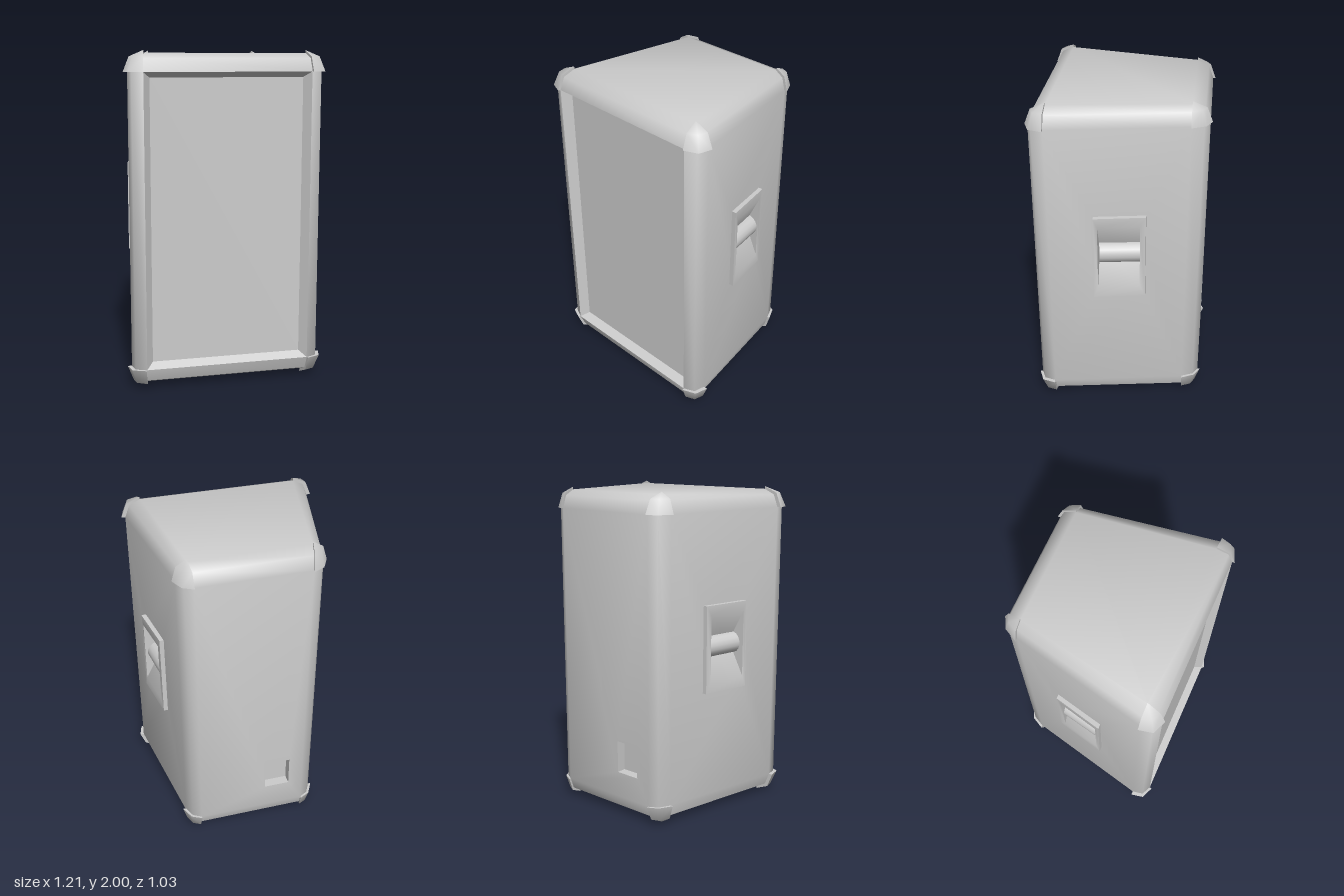
import * as THREE from 'three';
import { toCreasedNormals } from 'three/addons/utils/BufferGeometryUtils.js';

const material = new THREE.MeshStandardMaterial({ color: 0xcccccc });
const Y_LOW = 0.127, Y_HIGH = 1.877; // where the rounding of base and top begins

// Taper: scales the width with depth; u = 1 and u = -1 are the two side walls
function taper(u, y, z) {
  return [0.0125 - 0.03125 * z + u * (0.5025 + 0.19375 * z), y, z];
}

// Collects faces and turns them into a mesh
class Faces {
  constructor() { this.pos = []; }
  tri(a, b, c) { this.pos.push(...a, ...b, ...c); }
  quad(a, b, c, d) { this.tri(a, b, c); this.tri(a, c, d); }
  // four quads between an outer and an inner loop of four corners
  frame(outer, inner) {
    for (let k = 0; k < 4; k++) {
      const n = (k + 1) % 4;
      this.quad(outer[k], outer[n], inner[n], inner[k]);
    }
  }
  mesh(name, crease) {
    let g = new THREE.BufferGeometry();
    g.setAttribute('position', new THREE.Float32BufferAttribute(this.pos, 3));
    g = toCreasedNormals(g, crease);
    const m = new THREE.Mesh(g, material);
    m.name = name;
    return m;
  }
}

// Horizontal outline of the cabinet: four corners of three points each
function ring(yCentre, latitude) {
  const c = Math.cos(latitude), y = yCentre + 0.107 * Math.sin(latitude);
  const pts = [];
  [[1, 1], [-1, 1], [-1, -1], [1, -1]].forEach(([sx, sz], k) => {
    for (let j = 0; j < 3; j++) {
      const a = (k + j / 2) * Math.PI / 2;
      pts.push(taper(sx * 0.833 + 0.167 * c * Math.cos(a), y, sz * 0.4 + 0.1 * c * Math.sin(a)));
    }
  });
  return pts;
}

// Rectangle lying on a side wall, pushed out by a given amount
function sideRect(s, out, zBack, zFront, y0, y1) {
  const [z1, z2] = s > 0 ? [zBack, zFront] : [zFront, zBack];
  const u = s * (1 + out / 0.5);
  return [taper(u, y0, z1), taper(u, y1, z1), taper(u, y1, z2), taper(u, y0, z2)];
}
const gripHole = (s, out) => sideRect(s, out, -0.13, 0.115, 0.86, 1.27);

function backRect(z) {
  return [[-0.22, 0.285, z], [-0.22, 0.485, z], [-0.06, 0.485, z], [-0.06, 0.285, z]];
}

function cabinet() {
  const q = Math.PI / 4;
  const rings = [ring(Y_LOW, -2 * q), ring(Y_LOW, -q), ring(Y_LOW, 0),
    ring(Y_HIGH, 0), ring(Y_HIGH, q), ring(Y_HIGH, 2 * q)];
  const shell = new Faces(), base = new Faces(), front = new Faces(), socket = new Faces();
  for (let r = 0; r < 5; r++) {
    for (let i = 0; i < 12; i++) {
      const j = (i + 1) % 12, lo = rings[r], up = rings[r + 1];
      const c = [lo[i], up[i], up[j], lo[j]];
      if (r === 0) base.quad(...c);
      else if (r !== 2 || i % 3 !== 2) shell.quad(...c);
      else if (i === 2) { // recessed front panel
        const z = 0.45;
        const inner = [[0.457, 0.16, z], [0.457, 1.845, z], [-0.46, 1.845, z], [-0.46, 0.16, z]];
        front.frame(c, inner);
        front.quad(...inner);
      } else if (i === 8) { // back wall with the socket recess
        shell.frame(c, backRect(-0.5));
        socket.frame(backRect(-0.5), backRect(-0.44));
        socket.quad(...backRect(-0.44));
      } else shell.frame(c, gripHole(i === 11 ? 1 : -1, 0)); // side walls with grip openings
    }
  }
  const [b, t] = [rings[0], rings[5]];
  base.quad(b[0], b[3], b[6], b[9]);
  shell.quad(t[9], t[6], t[3], t[0]);
  const g = new THREE.Group();
  g.name = 'cabinet';
  g.add(shell.mesh('shell', 1.1), base.mesh('base', 0.7), front.mesh('frontPanel', 0.3),
    socket.mesh('socketRecess', 0.3));
  return g;
}

// Side handle: raised plate, V-shaped hollow and round bar
function handle(s) {
  const g = new THREE.Group(), f = new Faces(), out = 0.0275;
  g.name = s > 0 ? 'leftHandle' : 'rightHandle';
  const plate = o => sideRect(s, o, -0.163, 0.14, 0.79, 1.33);
  const rim = plate(out);
  f.frame(plate(0), rim);
  const h = gripHole(s, out);
  f.frame(rim, h);
  const [m1, , m2] = sideRect(s, out - 0.1, -0.13, 0.115, 1.065, 1.065);
  f.quad(h[0], m1, m2, h[3]);
  f.quad(m1, h[1], h[2], m2);
  f.tri(h[0], h[1], m1);
  f.tri(h[2], h[3], m2);
  g.add(f.mesh('handlePlate', 0.6));

  const [e1, , e2] = sideRect(s, out - 0.075, -0.13, 0.115, 1.065, 1.065)
    .map(p => new THREE.Vector3(...p));
  const axis = e2.clone().sub(e1);
  const bar = new THREE.Mesh(new THREE.CylinderGeometry(0.065, 0.065, axis.length(), 16), material);
  bar.name = 'handleBar';
  bar.position.copy(e1).add(e2).multiplyScalar(0.5);
  bar.quaternion.setFromUnitVectors(new THREE.Vector3(0, 1, 0), axis.normalize());
  g.add(bar);
  return g;
}

// Corner protector: a faceted eighth of a ball, tapered with the cabinet
function cornerCap(sx, sy, sz) {
  const f = new Faces();
  const yCentre = sy > 0 ? Y_HIGH : Y_LOW;
  const height = sy > 0 ? 2 - Y_HIGH : Y_LOW;
  const at = (x, y, z) => taper(sx * (0.836 + 0.207 * x), yCentre + sy * height * y, sz * (0.4 + 0.115 * z));
  const P = (i, j) => {
    const a = i * Math.PI / 4, b = j * Math.PI / 4;
    return at(Math.cos(a) * Math.cos(b), Math.sin(a), Math.cos(a) * Math.sin(b));
  };
  const flip = sx * sy * sz < 0;
  const tri = (a, b, c) => flip ? f.tri(a, c, b) : f.tri(a, b, c);
  const c = at(0, 0, 0);
  for (let i = 0; i < 2; i++) {
    for (let j = 0; j < 2; j++) {
      tri(P(i, j), P(i + 1, j), P(i + 1, j + 1));
      tri(P(i, j), P(i + 1, j + 1), P(i, j + 1));
    }
    tri(c, P(0, i), P(0, i + 1));
    tri(c, P(i + 1, 0), P(i, 0));
    tri(c, P(i, 2), P(i + 1, 2));
  }
  return f.mesh('cornerCap', 1.05);
}

export function createModel() {
  const model = new THREE.Group();
  model.name = 'loudspeaker';
  model.add(cabinet());
  for (const sx of [1, -1]) {
    model.add(handle(sx));
    for (const sy of [1, -1]) for (const sz of [1, -1]) model.add(cornerCap(sx, sy, sz));
  }
  return model;
}
